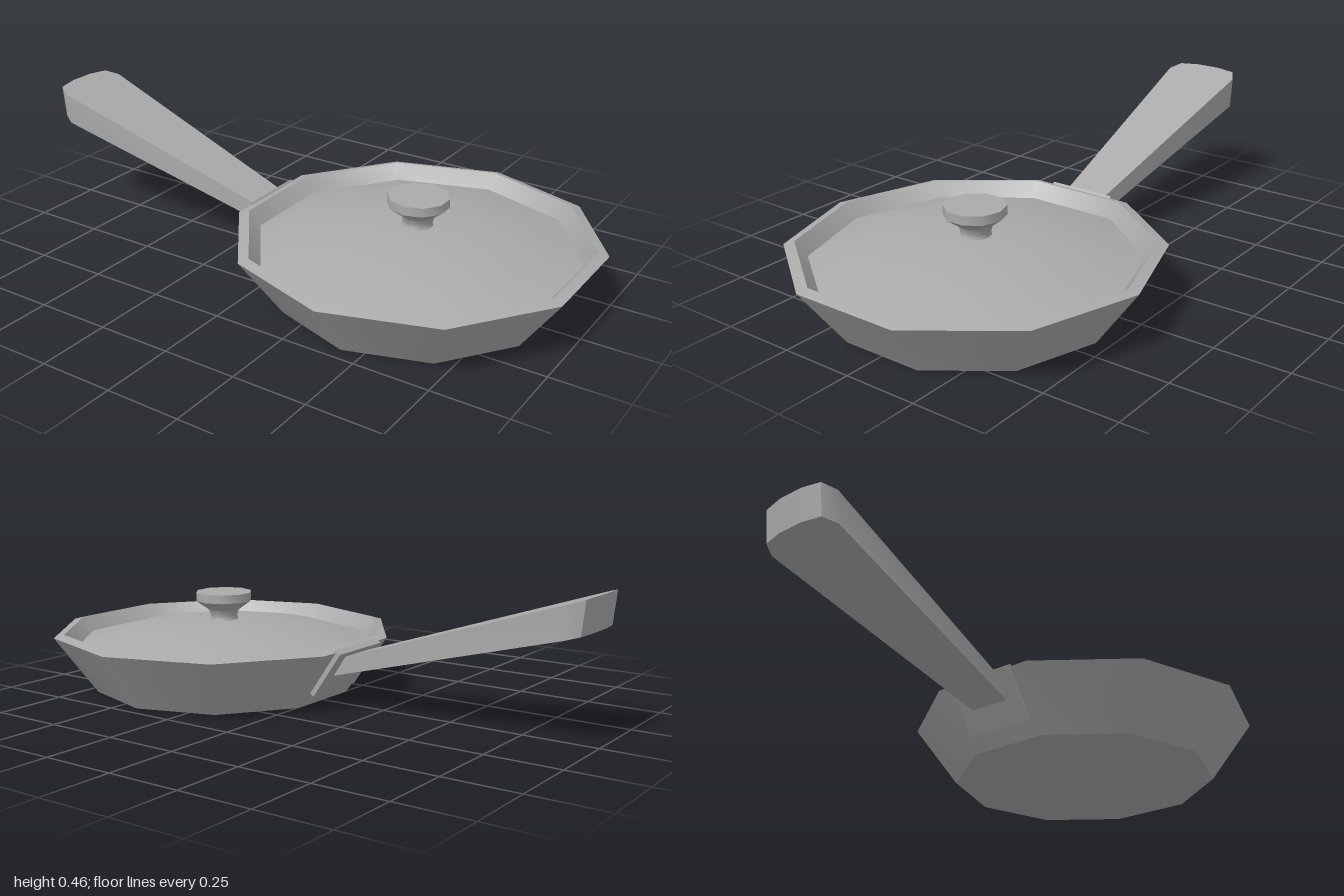
import * as THREE from 'three';
import { toCreasedNormals } from 'three/addons/utils/BufferGeometryUtils.js';

const SIDES = 10;
const PAN_X = 0.429;

export function createModel() {
  const group = new THREE.Group();
  const metal = new THREE.MeshStandardMaterial({ color: 0xaaaaaa });
  metal.name = 'grey metal';

  const add = (name, geometry) => {
    const mesh = new THREE.Mesh(toCreasedNormals(geometry, 0.66), metal);
    mesh.name = name;
    group.add(mesh);
    return mesh;
  };

  // Ten-sided turned part centred on the pan's axis
  const turned = (name, profile) => {
    const points = profile.map(([r, y]) => new THREE.Vector2(r, y));
    add(name, new THREE.LatheGeometry(points, SIDES)).position.x = PAN_X;
  };

  // Pan: base, flared wall, rim, inner wall and floor
  turned('panBody', [[0, 0], [0.455, 0], [0.6, 0.2], [0.565, 0.21], [0.435, 0.03], [0, 0.03]]);

  // Shallow domed lid sitting inside the rim
  const dome = [];
  for (let i = 0; i <= 6; i++) {
    const r = 0.527 * (1 - i / 6);
    dome.push([r, 0.237 - 0.28 * r * r]);
  }
  turned('lid', dome);

  // Knob: stem, flare and flat cap
  turned('lidKnob', [[0.055, 0.225], [0.048, 0.245], [0.055, 0.27], [0.1, 0.303], [0.1, 0.333], [0, 0.333]]);

  // Handle: plan outline with a rounded end, raised along sloping top and bottom lines
  const half = [[-0.1, 0.07], [-0.945, 0.14], [-0.988, 0.115], [-1, 0.045]];
  const outline = [...half, ...half.map(([x, z]) => [x, -z]).reverse()];
  const shape = new THREE.Shape(outline.map(([x, z]) => new THREE.Vector2(x, z)));
  const handle = new THREE.ExtrudeGeometry(shape, { depth: 1, bevelEnabled: false });
  handle.rotateX(Math.PI / 2);
  const pos = handle.attributes.position;
  for (let i = 0; i < pos.count; i++) {
    const x = pos.getX(i);
    const along = -0.1 - x;
    if (pos.getY(i) > -0.5) {
      pos.setY(i, 0.165 + 0.328 * along);
    } else {
      pos.setY(i, 0.11 + 0.268 * along);
      if (x < -0.9) pos.setX(i, x + 0.012);
    }
  }
  add('handle', handle);

  // Mounting plate lying against the sloping wall
  const plate = add('handlePlate', new THREE.BoxGeometry(0.022, 0.188, 0.24));
  plate.position.set(-0.096, 0.125, 0);
  plate.rotation.z = 0.604;

  return group;
}
